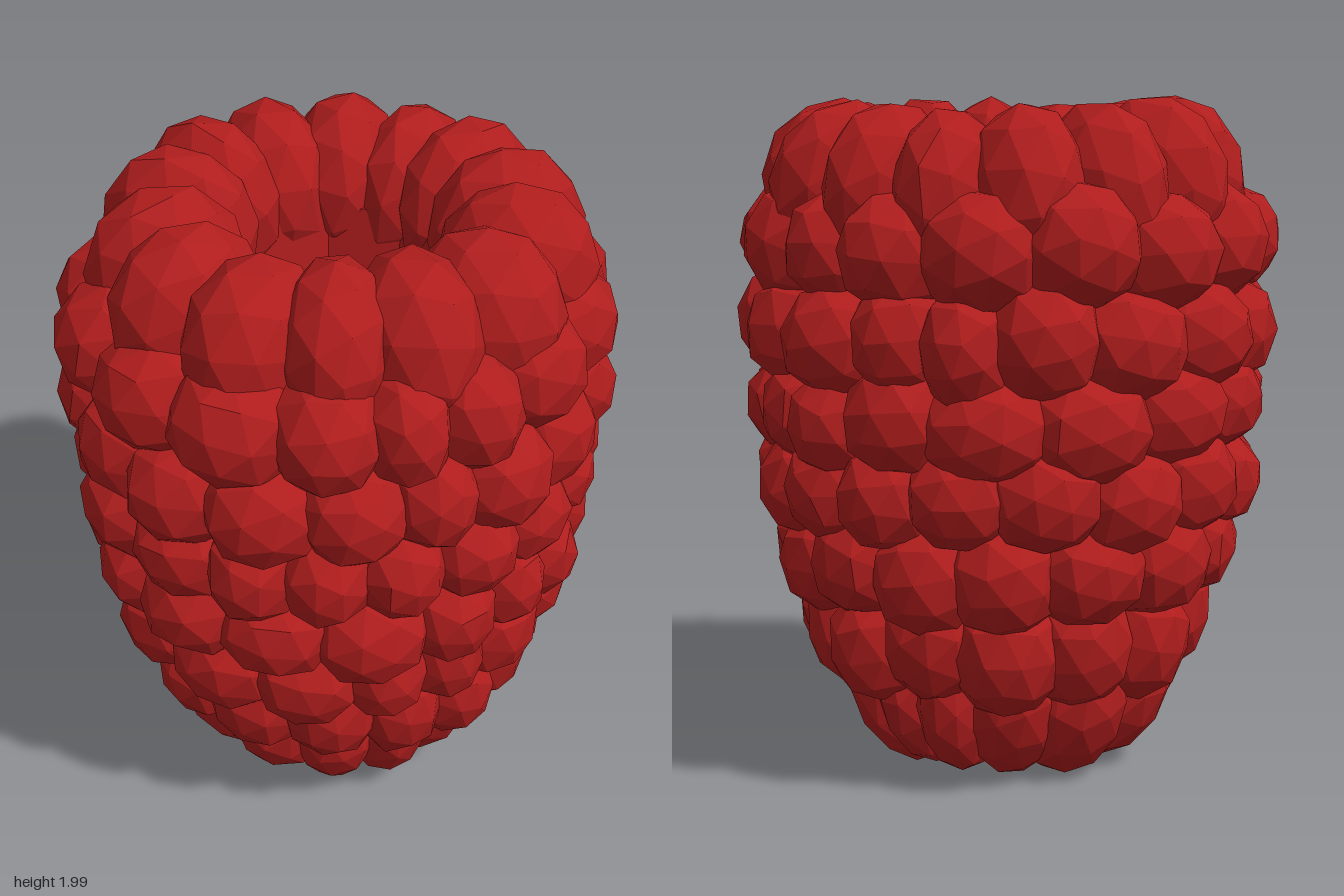
import * as THREE from 'three';

const DEPTH_RATIO = 0.955; // the berry is slightly flatter front to back

// Seeded generator for natural variation
function seeded(seed) {
  return () => {
    seed = (seed * 16807) % 2147483647;
    return seed / 2147483647;
  };
}

// Rows of drupelets from the tip up: height, outer radius, half depth, half height,
// inward tilt, cushion power, how many fill the back evenly, and sideways shift
const ROWS = [
  { y: 0.225, outer: 0.505, depth: 0.15, height: 0.21, tilt: -0.6, power: 2.1, back: 4, shift: [0, -0.01] },
  { y: 0.445, outer: 0.63, depth: 0.19, height: 0.18, tilt: -0.3, power: 2.35, back: 5, shift: [0.01, 0] },
  { y: 0.67, outer: 0.71, depth: 0.2, height: 0.16, tilt: -0.2, power: 2.4, back: 5, shift: [0, 0] },
  { y: 0.89, outer: 0.77, depth: 0.21, height: 0.155, tilt: -0.12, power: 2.4, back: 6, shift: [0, 0] },
  { y: 1.105, outer: 0.79, depth: 0.21, height: 0.155, tilt: -0.08, power: 2.4, back: 5, shift: [0, 0] },
  { y: 1.325, outer: 0.81, depth: 0.22, height: 0.17, tilt: 0, power: 2.3, back: 5, shift: [0, 0] },
  { y: 1.57, outer: 0.805, depth: 0.23, height: 0.175, tilt: 0.1, power: 2.25, back: 5, shift: [0, -0.01] },
  { y: 1.725, outer: 0.725, depth: 0.23, height: 0.25, tilt: 0.08, power: 2, back: 0, shift: [0.02, -0.015] },
];

// Directions of the drupelets in each row, in degrees
const DIRECTIONS = [
  [-142, -115, -88, -68, -47, -26, -8, 12, 31, 56],
  [-145, -116, -93, -71, -52, -35, -16, 8, 31, 58],
  [-150, -121, -100, -82, -63, -38, -13, 10, 33, 55],
  [-155, -130, -106, -82, -67, -48, -33, -15, 6, 24, 44],
  [-154, -135, -117, -99, -81, -60, -40, -25, -7, 9, 27, 52],
  [-154, -134, -108, -92, -74, -50, -30, -12, 11, 31, 46, 65],
  [-164, -140, -114, -98, -81, -60, -35, -11, 8, 26, 50],
  [-171, -141, -115, -94, -62, -35, -8, 18, 38, 64, 90, 115, 138, 163],
];

// Continue a list of directions evenly around the back
function fillBack(directions, count) {
  const last = directions[directions.length - 1];
  const step = (directions[0] + 360 - last) / (count + 1);
  const extra = Array.from({ length: count }, (_, i) => last + step * (i + 1));
  return [...directions, ...extra];
}

// Faceted ball pressed towards a cushion shape, of unit half size
function cushion(power, spinX, spinY) {
  const geometry = new THREE.IcosahedronGeometry(1, 1).rotateX(spinX).rotateY(spinY);
  const position = geometry.attributes.position;
  const v = new THREE.Vector3();
  for (let i = 0; i < position.count; i++) {
    v.fromBufferAttribute(position, i);
    const sum = Math.abs(v.x) ** power + Math.abs(v.y) ** power + Math.abs(v.z) ** power;
    v.multiplyScalar(1.03 / sum ** (1 / power));
    position.setXYZ(i, v.x, v.y, v.z);
  }
  return geometry;
}

export function createModel() {
  const model = new THREE.Group();
  model.name = 'raspberry';
  const red = new THREE.MeshStandardMaterial({ color: 0xb01d1d, flatShading: true });
  red.name = 'raspberry red';
  const rand = seeded(4217);
  const vary = (amount) => (rand() - 0.5) * 2 * amount;

  // Plump drupelets, each as wide as the gap its neighbours leave
  ROWS.forEach((row, r) => {
    const ring = new THREE.Group();
    ring.name = `drupeletRow${r + 1}`;
    ring.position.set(row.shift[0], 0, row.shift[1]);
    const mid = row.outer - row.depth;
    const directions = fillBack(DIRECTIONS[r], row.back);
    const n = directions.length;
    directions.forEach((direction, i) => {
      const before = i > 0 ? directions[i - 1] : directions[n - 1] - 360;
      const after = i < n - 1 ? directions[i + 1] : directions[0] + 360;
      const span = THREE.MathUtils.degToRad((after - before) / 4);
      const halfWidth = (mid + row.depth * 0.5) * span * 1.27;
      const centre = THREE.MathUtils.degToRad(direction * 0.5 + (before + after) * 0.25);
      const geometry = cushion(row.power, rand() * 6.28, rand() * 6.28);
      geometry.scale(row.depth, row.height * (1 + vary(0.04)), halfWidth);
      geometry.rotateZ(row.tilt);
      geometry.translate(mid + vary(0.01), row.y + vary(0.018), 0);
      geometry.rotateY(centre);
      geometry.scale(1, 1, DEPTH_RATIO);
      const drupelet = new THREE.Mesh(geometry, red);
      drupelet.name = 'drupelet';
      ring.add(drupelet);
    });
    model.add(ring);
  });

  // Hollow core: the cavity wall and the flesh behind the drupelets
  const profile = [
    [0.19, 0.1], [0.34, 0.08], [0.44, 0.3], [0.6, 0.8], [0.65, 1.3],
    [0.52, 1.72], [0.33, 1.72], [0.3, 1.4], [0.25, 0.8], [0.19, 0.1],
  ].map(([x, y]) => new THREE.Vector2(x, y));
  const coreGeometry = new THREE.LatheGeometry(profile, 9).scale(1, 1, DEPTH_RATIO);
  const core = new THREE.Mesh(coreGeometry, red);
  core.name = 'hollowCore';
  model.add(core);
  return model;
}
